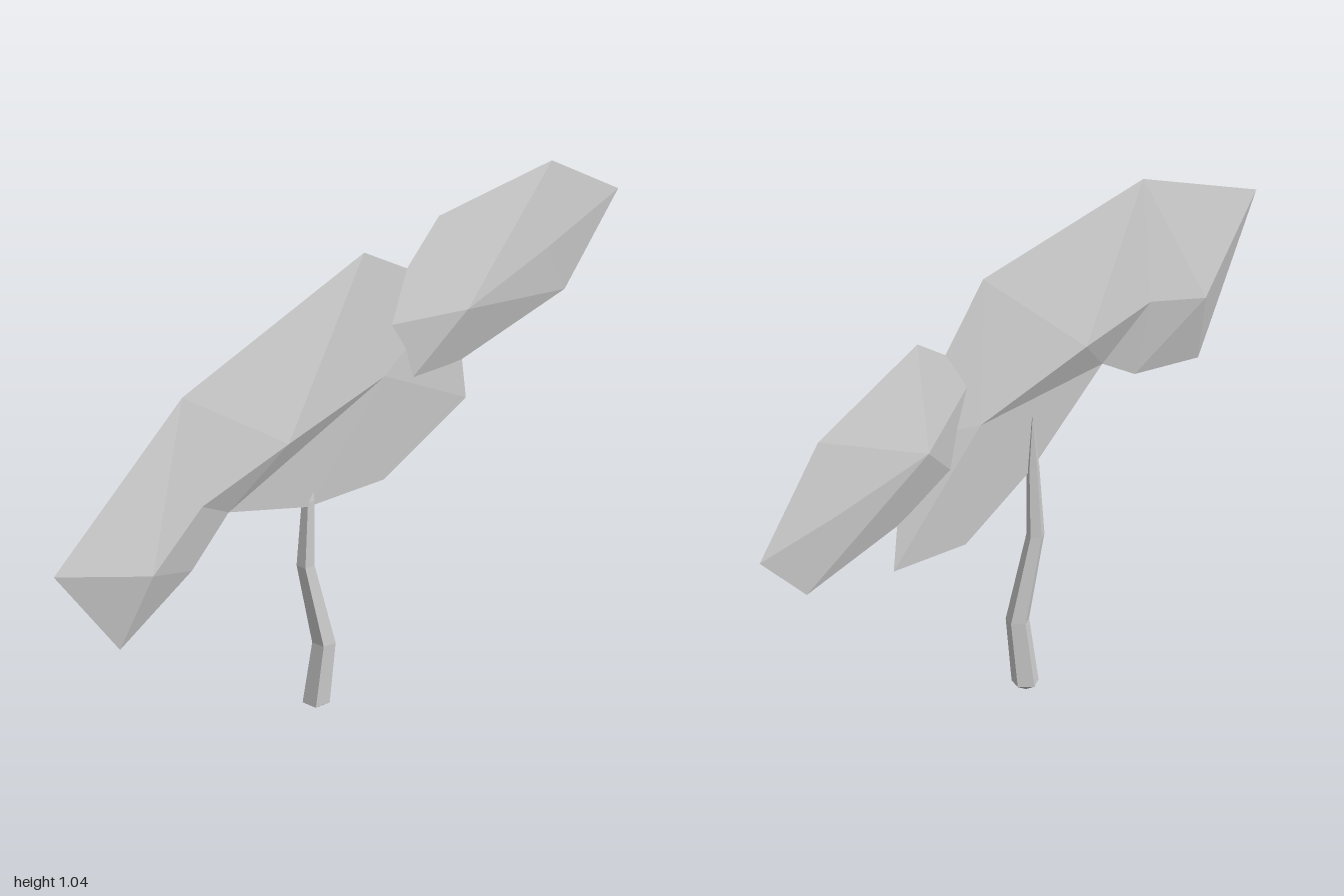
import * as THREE from 'three';

const grey = new THREE.MeshStandardMaterial({ color: 0xcccccc, flatShading: true });
grey.name = 'pale grey';

// Closed shell from front-side points [x, y, z], mirrored to the back
function puffedShell(points, triangles, name) {
  const pos = [];
  for (const side of [1, -1]) {
    for (const [a, b, c] of triangles) {
      const [p, q, r] = [points[a], points[b], points[c]];
      const ccw = (q[0] - p[0]) * (r[1] - p[1]) - (q[1] - p[1]) * (r[0] - p[0]) > 0;
      const order = ccw === (side > 0) ? [p, q, r] : [p, r, q];
      for (const v of order) pos.push(v[0], v[1], v[2] * side);
    }
  }
  return makeMesh(pos, name);
}

function makeMesh(pos, name) {
  const g = new THREE.BufferGeometry();
  g.setAttribute('position', new THREE.Float32BufferAttribute(pos, 3));
  g.computeVertexNormals();
  const mesh = new THREE.Mesh(g, grey);
  mesh.name = name;
  return mesh;
}

// Bent stem: rings [x, y, z, radius] along its axis, pointed at both ends
function bentStem(rings, sides, name) {
  const pos = [];
  const at = ([x, y, z, r], i) => {
    const t = (i / sides) * Math.PI * 2 + 0.3;
    return [x + r * Math.sin(t), y, z + r * Math.cos(t)];
  };
  for (let k = 0; k < rings.length - 1; k++) {
    for (let i = 0; i < sides; i++) {
      const a = at(rings[k], i), b = at(rings[k], i + 1);
      const c = at(rings[k + 1], i + 1), d = at(rings[k + 1], i);
      if (rings[k][3] > 0) pos.push(...a, ...b, ...c);
      if (rings[k + 1][3] > 0) pos.push(...a, ...c, ...d);
    }
  }
  return makeMesh(pos, name);
}

export function createModel() {
  const model = new THREE.Group();
  model.name = 'flatTree';

  // Main canopy: ten rim points, then four ridge points
  model.add(puffedShell([
    [-1, 0.78, 0], [-0.545, 1, 0], [0.1, 1.04, 0], [0.42, 0.8, 0], [0.46, 0.505, 0],
    [0.17, 0.445, 0], [-0.1, 0.51, 0], [-0.38, 0.635, 0], [-0.51, 0.555, 0], [-0.765, 0.485, 0],
    [-0.715, 0.66, 0.05], [-0.52, 0.73, 0.034], [-0.235, 0.75, 0.05], [0.145, 0.72, 0.021],
  ], [
    [0, 1, 10], [1, 11, 10], [1, 12, 11], [1, 2, 12], [2, 13, 12], [2, 3, 13],
    [3, 4, 13], [4, 5, 13], [5, 6, 13], [6, 7, 13], [7, 12, 13], [7, 11, 12],
    [7, 8, 11], [8, 10, 11], [8, 9, 10], [9, 0, 10],
  ], 'mainCanopy'));

  // Side canopy: seven rim points, then two ridge points
  model.add(puffedShell([
    [0.365, 1, 0], [0.765, 0.94, 0], [1, 0.755, 0], [0.81, 0.6, 0], [0.4, 0.607, 0],
    [0.2, 0.62, 0], [0.12, 0.84, 0], [0.4, 0.77, 0.05], [0.72, 0.755, 0.022],
  ], [
    [0, 1, 7], [1, 8, 7], [1, 2, 8], [2, 3, 8], [3, 7, 8],
    [3, 4, 7], [4, 5, 7], [5, 6, 7], [6, 0, 7],
  ], 'sideCanopy'));

  // Trunk
  model.add(bentStem([
    [-0.072, 0, 0, 0], [-0.07, 0.018, 0, 0.03], [-0.06, 0.165, 0.013, 0.026],
    [-0.09, 0.36, -0.013, 0.02], [-0.088, 0.52, -0.008, 0.014], [-0.08, 0.65, -0.012, 0],
  ], 5, 'trunk'));

  return model;
}
